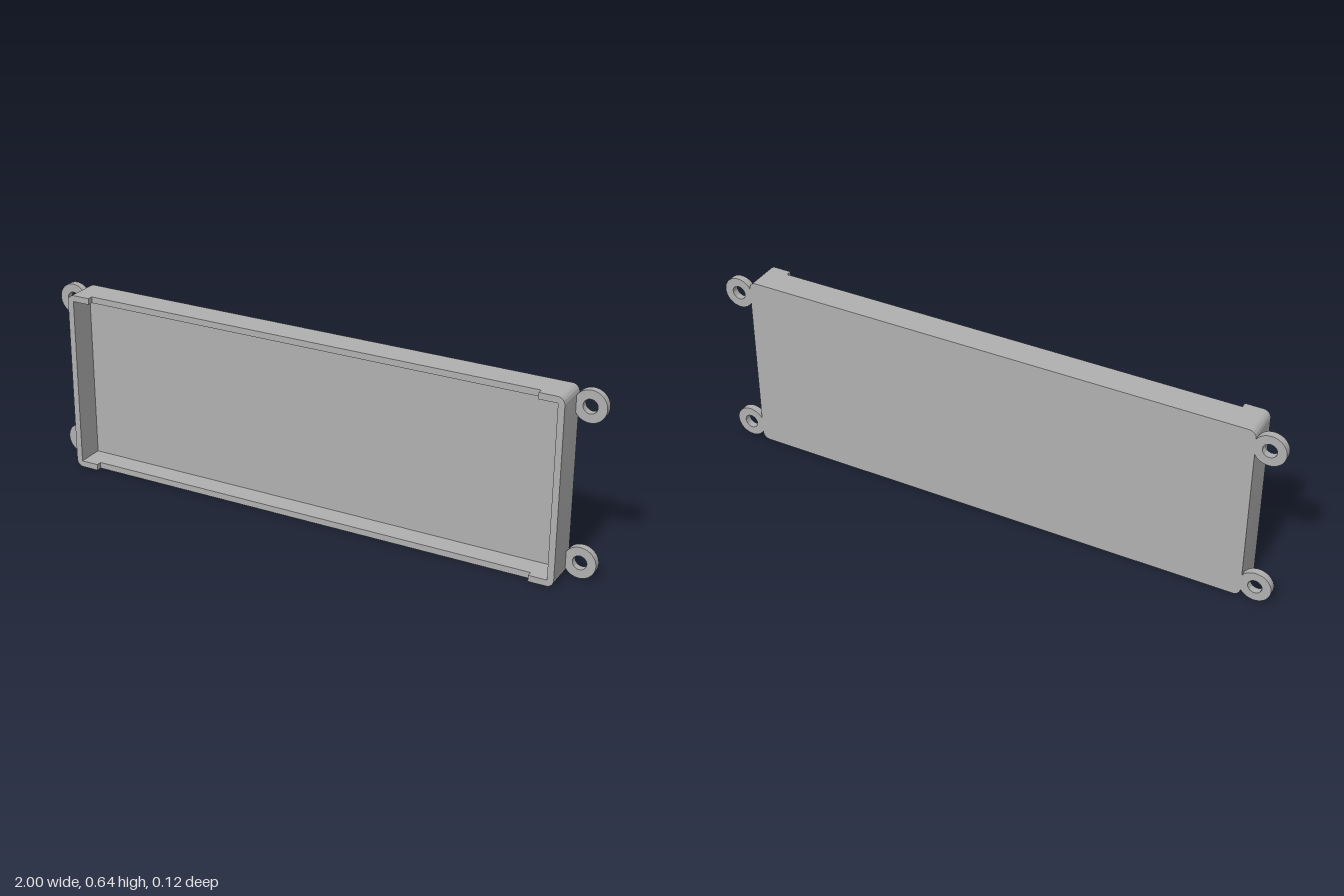
import * as THREE from 'three';
import { toCreasedNormals } from 'three/addons/utils/BufferGeometryUtils.js';

const W = 0.9, H = 0.642, R = 0.025, WALL = 0.022;
const BACK = -0.06, FLOOR = -0.035, NOTCH = 0.04, FRONT = 0.06, NOTCH_X = 0.815;

export function createModel() {
  const group = new THREE.Group();
  const grey = new THREE.MeshStandardMaterial({ color: 0xb0b0b0 });
  grey.name = 'grey';

  // Extrude a front-facing outline between two depths
  const slab = (name, shape, z0, z1) => {
    const geo = new THREE.ExtrudeGeometry(shape, { depth: z1 - z0, bevelEnabled: false, curveSegments: 24 });
    geo.translate(0, 0, z0);
    const mesh = new THREE.Mesh(toCreasedNormals(geo, 0.6), grey);
    mesh.name = name;
    group.add(mesh);
  };

  // Rounded outer outline of the tray
  const outline = () => {
    const s = new THREE.Shape();
    s.absarc(W - R, R, R, -Math.PI / 2, 0);
    s.absarc(W - R, H - R, R, 0, Math.PI / 2);
    s.absarc(-W + R, H - R, R, Math.PI / 2, Math.PI);
    s.absarc(-W + R, R, R, Math.PI, Math.PI * 1.5);
    s.closePath();
    return s;
  };

  slab('backPlate', outline(), BACK, FLOOR);

  // Wall all the way round, up to the recessed long edges
  const walls = outline();
  const x = W - WALL, top = H - WALL;
  walls.holes.push(new THREE.Path([[-x, WALL], [-x, top], [x, top], [x, WALL]]
    .map(([a, b]) => new THREE.Vector2(a, b))));
  slab('walls', walls, FLOOR, NOTCH);

  for (const side of [1, -1]) {
    // Raised C-shaped rim at each end
    const rim = new THREE.Shape();
    rim.moveTo(side * NOTCH_X, 0);
    rim.lineTo(side * (W - R), 0);
    for (const [cy, start] of [[R, -Math.PI / 2], [H - R, 0]]) {
      for (let i = 0; i <= 12; i++) {
        const a = start + (i / 12) * Math.PI / 2;
        rim.lineTo(side * (W - R + R * Math.cos(a)), cy + R * Math.sin(a));
      }
    }
    for (const [px, py] of [[NOTCH_X, H], [NOTCH_X, top], [x, top], [x, WALL], [NOTCH_X, WALL]]) {
      rim.lineTo(side * px, py);
    }
    rim.closePath();
    slab(side > 0 ? 'leftRim' : 'rightRim', rim, NOTCH, FRONT);

    // Mounting lugs with screw holes
    for (const y of [0.055, H - 0.055]) {
      const lug = new THREE.Shape().absarc(side * 0.946, y, 0.054, 0, Math.PI * 2);
      lug.holes.push(new THREE.Path().absarc(side * 0.946, y, 0.024, 0, Math.PI * 2, true));
      slab('mountingLug', lug, BACK, FLOOR);
    }
  }
  return group;
}
